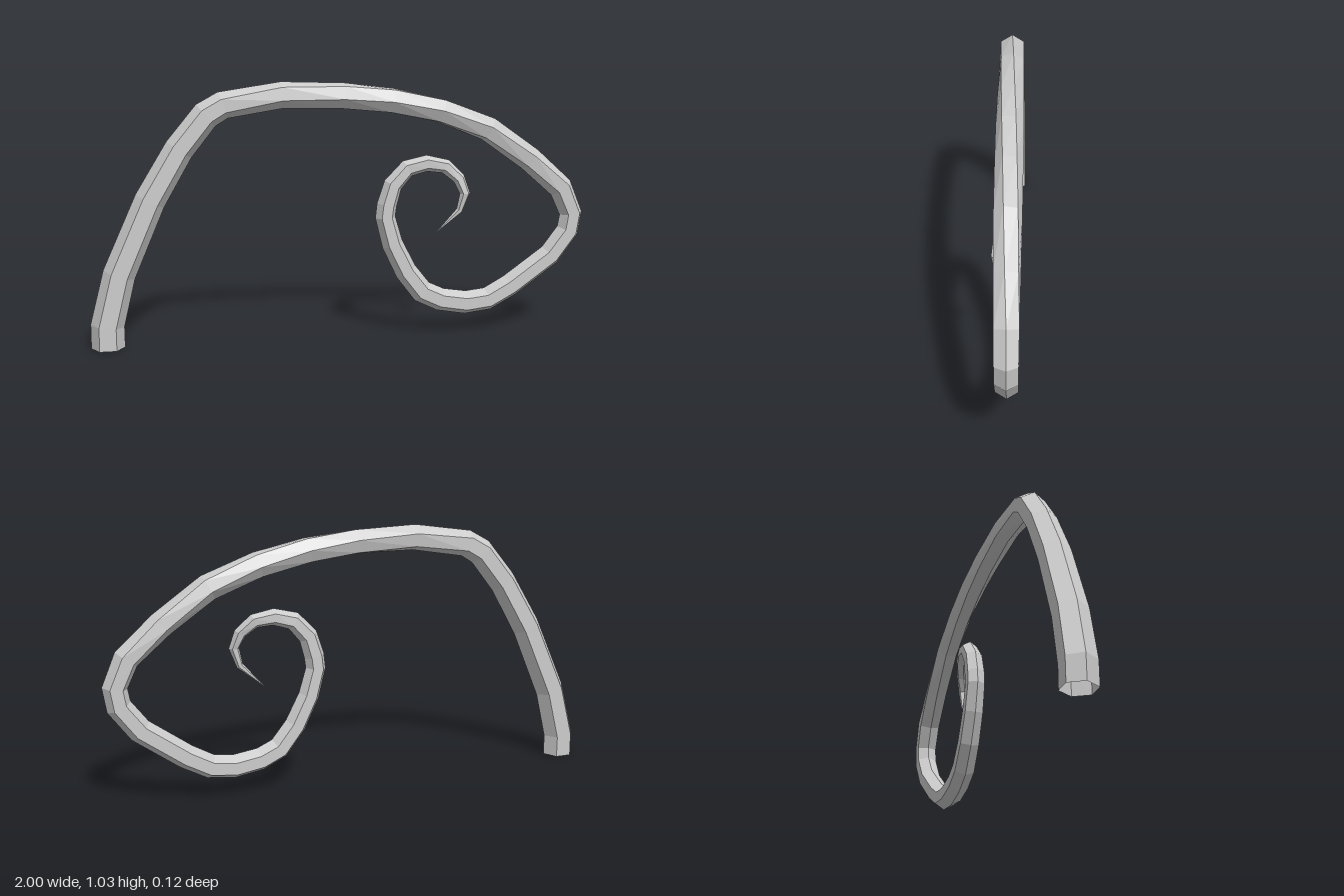
import * as THREE from 'three';

// Centre line of the scroll: [x, y, radius, z]
const PATH = [
  [-0.935, 0, 0.065], [-0.935, 0.09, 0.065], [-0.885, 0.29, 0.063], [-0.76, 0.575, 0.06],
  [-0.645, 0.77, 0.057], [-0.54, 0.9, 0.056], [-0.475, 0.938, 0.054], [-0.245, 0.974, 0.052],
  [0, 0.968, 0.052], [0.195, 0.947, 0.052], [0.395, 0.902, 0.051], [0.59, 0.827, 0.051],
  [0.77, 0.7, 0.05], [0.905, 0.58, 0.05], [0.952, 0.473, 0.048], [0.94, 0.4, 0.048],
  [0.865, 0.3, 0.048], [0.695, 0.178, 0.048], [0.6, 0.126, 0.048], [0.505, 0.115, 0.048],
  [0.4, 0.132, 0.047], [0.323, 0.168, 0.047], [0.255, 0.255, 0.045], [0.198, 0.37, 0.043],
  [0.168, 0.48, 0.041], [0.174, 0.53, 0.041], [0.198, 0.61, 0.039], [0.257, 0.675, 0.036],
  [0.335, 0.695, 0.033, 0.004], [0.41, 0.682, 0.029, 0.014], [0.462, 0.634, 0.025, 0.03],
  [0.484, 0.575, 0.021, 0.042], [0.463, 0.505, 0.014, 0.038], [0.37, 0.417, 0.001, 0.03],
];
const SIDES = 6;
const TWIST_FROM = 6, TWIST_TO = 13; // rings between which the bar turns by one side

function ring(i) {
  const [x, y, r, z = -0.003] = PATH[i];
  const point = (k) => new THREE.Vector2(PATH[k][0], PATH[k][1]);
  const dir = new THREE.Vector2();
  if (i > 0) dir.add(point(i).sub(point(i - 1)).normalize());
  if (i < PATH.length - 1) dir.add(point(i + 1).sub(point(i)).normalize());
  dir.normalize();
  const turn = THREE.MathUtils.clamp((i - TWIST_FROM) / (TWIST_TO - TWIST_FROM), 0, 1);
  const corners = [];
  for (let j = 0; j < SIDES; j++) {
    const a = ((j - turn) * Math.PI * 2) / SIDES;
    const n = r * Math.cos(a);
    corners.push([x - dir.y * n, y + dir.x * n, z + r * Math.sin(a)]);
  }
  return corners;
}

// Hexagonal bar swept along the scroll, open at the foot
function scrollGeometry() {
  const rings = PATH.map((_, i) => ring(i));
  const positions = [];
  for (let i = 0; i < rings.length - 1; i++) {
    for (let j = 0; j < SIDES; j++) {
      const k = (j + 1) % SIDES;
      const a = rings[i][j], b = rings[i][k], c = rings[i + 1][k], d = rings[i + 1][j];
      positions.push(...a, ...b, ...c, ...a, ...c, ...d);
    }
  }
  const geometry = new THREE.BufferGeometry();
  geometry.setAttribute('position', new THREE.Float32BufferAttribute(positions, 3));
  geometry.computeVertexNormals();
  return geometry;
}

export function createModel() {
  const group = new THREE.Group();
  group.name = 'scroll';
  const material = new THREE.MeshStandardMaterial({
    color: 0xcccccc, flatShading: true, side: THREE.DoubleSide,
  });
  const bar = new THREE.Mesh(scrollGeometry(), material);
  bar.name = 'curledBar';
  group.add(bar);
  return group;
}
